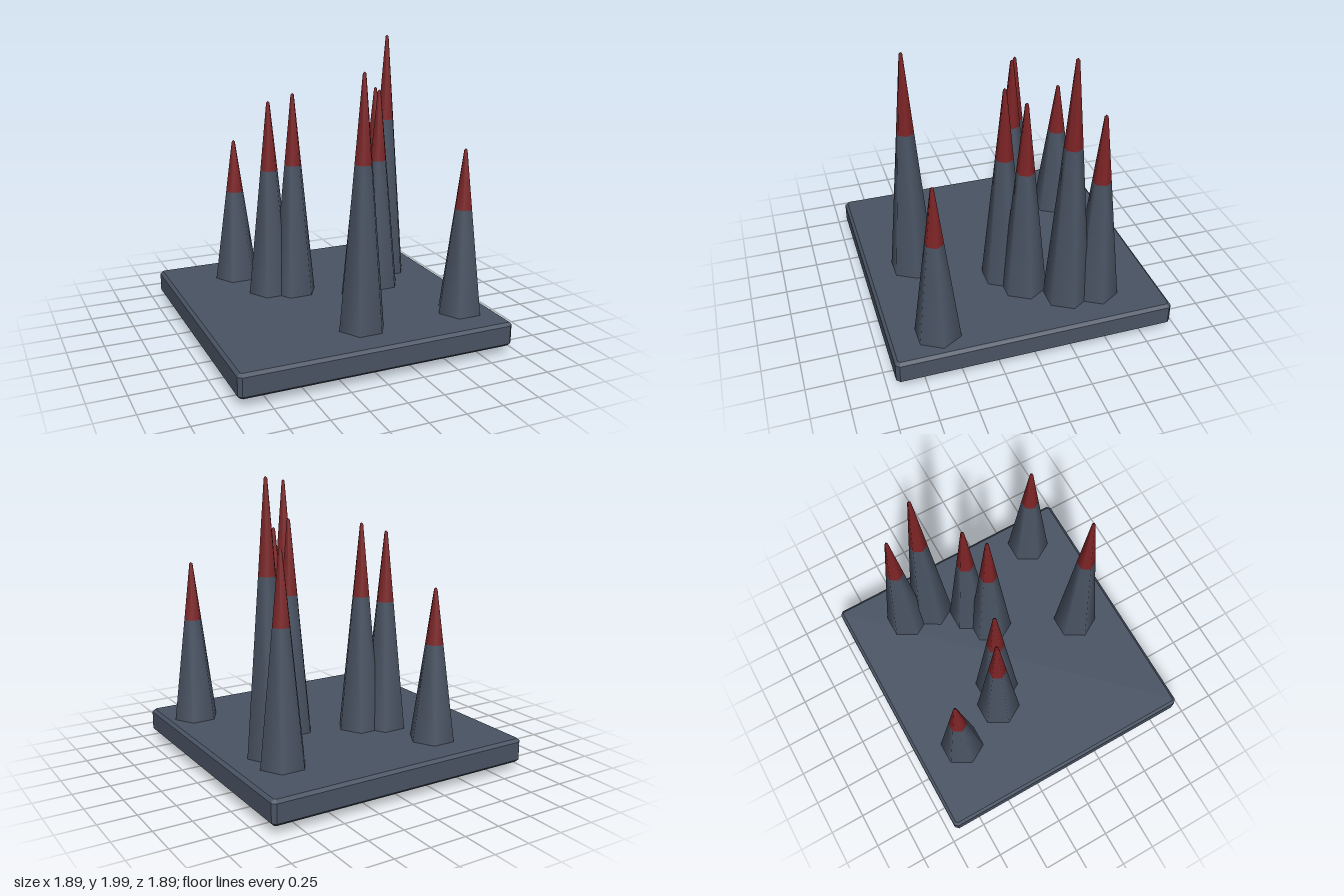
import * as THREE from 'three';

const slate = new THREE.MeshStandardMaterial({ color: 0x4a5464 });
slate.name = 'slate';
const red = new THREE.MeshStandardMaterial({ color: 0x7e2426 });
red.name = 'dark red';

// x, z and height of each spike
const SPIKES = [
  [-0.44, -0.615, 1.265], [-0.31, -0.235, 1.6], [-0.16, -0.165, 1.655],
  [0, 0.615, 1.89], [0.285, 0.03, 1.69], [0.445, -0.06, 1.655],
  [0.625, -0.305, 2.0], [0.64, -0.505, 1.6], [0.73, 0.62, 1.355],
];

// Six-sided turned piece with a corner facing +x
function turned(name, profile, material) {
  const points = profile.map(([r, y]) => new THREE.Vector2(r, y));
  const mesh = new THREE.Mesh(new THREE.LatheGeometry(points, 6, Math.PI / 2), material);
  mesh.name = name;
  return mesh;
}

function makeSpike([x, z, top]) {
  const spike = new THREE.Group();
  spike.name = 'spike';
  const split = 0.05 + (top - 0.05) * 0.69;
  const baseY = 0.2, baseR = 0.162, tipR = 0.012, tipY = top - 0.012;
  const splitR = baseR + (tipR - baseR) * (split - baseY) / (tipY - baseY);
  // Blunt root poking out under the plate
  spike.add(turned('spikeRoot', [[0, 0.01], [0.122, 0.055], [0.13, 0.085], [baseR, baseY]], slate));
  spike.add(turned('spikeBody', [[baseR, baseY], [splitR, split]], slate));
  spike.add(turned('spikeTip', [[splitR, split], [tipR, tipY], [0, top]], red));
  spike.position.set(x, 0, z);
  return spike;
}

// Square plate with every edge chamfered
function makePlate() {
  const half = 0.945, chamfer = 0.02, low = 0.07, high = 0.235;
  const a = half - chamfer, b = a - 0.012;
  const shape = new THREE.Shape([
    [a, -b], [a, b], [b, a], [-b, a], [-a, b], [-a, -b], [-b, -a], [b, -a],
  ].map(([x, y]) => new THREE.Vector2(x, y)));
  const geometry = new THREE.ExtrudeGeometry(shape, {
    depth: high - low - 2 * chamfer, bevelEnabled: true,
    bevelSize: chamfer, bevelThickness: chamfer, bevelSegments: 1,
  });
  geometry.rotateX(-Math.PI / 2);
  geometry.translate(0, low + chamfer, 0);
  const plate = new THREE.Mesh(geometry, slate);
  plate.name = 'basePlate';
  return plate;
}

export function createModel() {
  const model = new THREE.Group();
  model.name = 'spikeTrap';
  model.add(makePlate());
  for (const spec of SPIKES) model.add(makeSpike(spec));
  return model;
}
